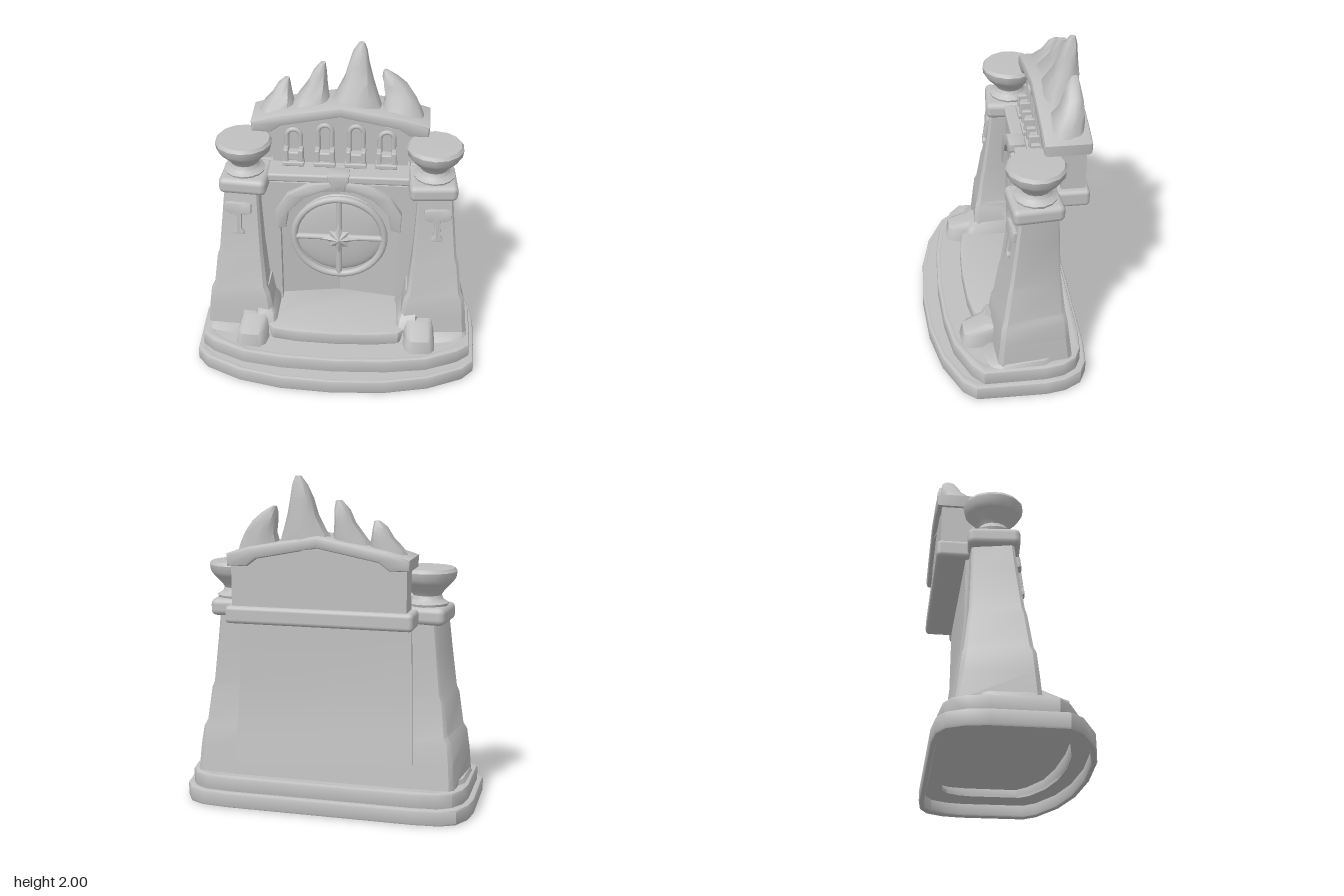
import * as THREE from 'three';
import { toCreasedNormals } from 'three/addons/utils/BufferGeometryUtils.js';
import { RoundedBoxGeometry } from 'three/addons/geometries/RoundedBoxGeometry.js';

const stone = new THREE.MeshStandardMaterial({ color: 0xc0c0c0, side: THREE.DoubleSide });
stone.name = 'stone grey';

// Skin through stacked rings of [x, y, z] points (counter-clockwise from above).
function loft(rings, crease = 0.95) {
  const n = rings[0].length, pos = rings.flat(2), idx = [];
  for (let i = 0; i < rings.length - 1; i++) for (let j = 0; j < n; j++) {
    const a = i * n + j, b = i * n + (j + 1) % n;
    idx.push(a, b, b + n, a, b + n, a + n);
  }
  const top = (rings.length - 1) * n;
  for (let j = 1; j < n - 1; j++) idx.push(top, top + j, top + j + 1, 0, j + 1, j);
  const g = new THREE.BufferGeometry();
  g.setAttribute('position', new THREE.Float32BufferAttribute(pos, 3));
  g.setIndex(idx);
  return toCreasedNormals(g, crease);
}

// Chamfered four-cornered ring; s mirrors it in x.
// Corners: outer front, outer back, inner back, inner front.
function quadRing(y, corners, s, cut = 0.12) {
  const ring = [];
  corners.forEach((c, i) => {
    for (const k of [3, 1]) {
      const o = corners[(i + k) % 4];
      ring.push([s * (c[0] + (o[0] - c[0]) * cut), y, c[1] + (o[1] - c[1]) * cut]);
    }
  });
  return s < 0 ? ring.reverse() : ring;
}

const toShape = (pts) => new THREE.Shape(pts.map(([x, y]) => new THREE.Vector2(x, y)));
const mirrored = (half) => [...half, ...half.filter((p) => p[0] !== 0).map(([x, y]) => [-x, y]).reverse()];

function extrude(shape, depth, bevel = 0.012) {
  const g = new THREE.ExtrudeGeometry(shape, {
    depth: depth - 2 * bevel, bevelEnabled: bevel > 0, bevelThickness: bevel,
    bevelSize: bevel, bevelOffset: -bevel, bevelSegments: 2, curveSegments: 12,
  });
  return toCreasedNormals(g.translate(0, 0, bevel), 0.6);
}

// Slab from a half outline in [x, z], optionally hollow.
function slab(half, y0, y1, hole = 0, bevel = 0.015) {
  const pts = mirrored(half).map(([x, z]) => [x, -z]);
  const shape = toShape(pts);
  if (hole) shape.holes.push(new THREE.Path(pts.map(([x, y]) => new THREE.Vector2(x * hole, y * hole))));
  return extrude(shape, y1 - y0, bevel).rotateX(-Math.PI / 2).translate(0, y0, 0);
}
const shrink = (half, k) => half.map(([x, z]) => [x * k, z * k]);

export function createModel() {
  const root = new THREE.Group();
  root.name = 'stoneGate';
  const add = (name, geo, x = 0, y = 0, z = 0, parent = root) => {
    const m = new THREE.Mesh(geo, stone);
    m.name = name;
    m.position.set(x, y, z);
    parent.add(m);
    return m;
  };
  const box = (name, w, h, d, x, y, z, r = 0.015) =>
    add(name, new RoundedBoxGeometry(w, h, d, 2, r), x, y, z);

  // Hollow stepped base
  const outline = [[0, 0.485], [0.33, 0.465], [0.6, 0.405], [0.82, 0.3], [0.89, 0.22], [0.895, -0.2],
    [0.875, -0.32], [0.82, -0.42], [0.73, -0.465], [0.57, -0.48], [0, -0.48]];
  const step = [[0, 0.385], [0.33, 0.37], [0.58, 0.33], [0.78, 0.24], [0.86, 0.17], [0.86, -0.2],
    [0.84, -0.31], [0.79, -0.39], [0.71, -0.43], [0.55, -0.445], [0, -0.445]];
  add('basePlinth', slab(outline, 0, 0.098, 0.93));
  add('plinthTop', slab(shrink(outline, 0.97), 0.078, 0.096, 0.75, 0));
  add('baseStep', slab(step, 0.08, 0.187, 0.9));
  add('baseDeck', slab(shrink(step, 0.97), 0.165, 0.185, 0, 0));
  add('threshold', slab([[0, 0.225], [0.25, 0.215], [0.4, 0.19], [0.48, 0.1], [0.48, -0.29], [0, -0.29]], 0.18, 0.272));

  // Pillars, bowls and emblems on both sides
  const levels = [ // y, outer x, inner x, front z, back z
    [0.18, 0.84, 0.40, 0.115, -0.37], [0.34, 0.828, 0.41, 0.10, -0.35], [0.46, 0.812, 0.43, 0.088, -0.335],
    [0.50, 0.79, 0.45, 0.075, -0.325], [0.70, 0.765, 0.465, 0.045, -0.302], [0.74, 0.75, 0.47, 0.035, -0.297],
    [1.0, 0.722, 0.482, 0.0, -0.287], [1.17, 0.705, 0.488, -0.02, -0.283]];
  for (const s of [1, -1]) {
    add('pillar', loft(levels.map(([y, o, i, f, b]) =>
      quadRing(y, [[o, f - 0.03], [o - 0.05, b], [i, b], [i, f]], s, 0.06)), 0.65));
    const cap = box('pillarCap', 0.295, 0.105, 0.3, s * 0.575, 1.2, -0.15, 0.035);
    cap.rotation.y = s * 0.08;

    const profile = [[0.001, 1.23], [0.12, 1.24], [0.128, 1.265], [0.095, 1.285], [0.085, 1.31], [0.1, 1.335],
      [0.15, 1.385], [0.168, 1.41], [0.174, 1.45], [0.16, 1.47], [0.001, 1.472]];
    const bowl = new THREE.LatheGeometry(profile.map(([r, y]) => new THREE.Vector2(r, y)), 14);
    add('fireBowl', toCreasedNormals(bowl, 0.7), s * 0.583, 0, -0.155);

    const hammer = toShape(mirrored([[0, -0.11], [0.034, -0.11], [0.034, -0.09], [0.019, -0.07], [0.019, 0.03],
      [0.04, 0.025], [0.082, 0.038], [0.082, 0.1], [0.04, 0.11], [0, 0.105]]));
    const emblem = add('hammerEmblem', extrude(hammer, 0.035, 0.006), s * 0.613, 0.98, -0.027);
    emblem.rotation.set(-0.14, s * 0.1, 0);

    // Worn rocks at the foot of the pillar
    add('footRock', loft([
      quadRing(0.17, [[0.635, 0.28], [0.64, 0.05], [0.4, 0.05], [0.45, 0.29]], s, 0.15),
      quadRing(0.27, [[0.615, 0.265], [0.62, 0.05], [0.41, 0.05], [0.465, 0.27]], s, 0.15),
      quadRing(0.325, [[0.59, 0.13], [0.61, 0.04], [0.42, 0.04], [0.46, 0.14]], s, 0.15)]));
    add('innerRock', loft([
      quadRing(0.18, [[0.52, 0.2], [0.52, -0.2], [0.37, -0.2], [0.37, 0.17]], s),
      quadRing(0.32, [[0.52, 0.14], [0.52, -0.2], [0.385, -0.2], [0.39, 0.12]], s),
      quadRing(0.36, [[0.52, 0.08], [0.52, -0.2], [0.41, -0.2], [0.42, 0.07]], s),
      quadRing(0.49, [[0.52, 0.06], [0.52, -0.2], [0.43, -0.2], [0.44, 0.05]], s)]));
    add('outerRock', loft([
      quadRing(0.17, [[0.85, 0.14], [0.84, -0.25], [0.6, -0.25], [0.6, 0.2]], s, 0.15),
      quadRing(0.215, [[0.835, 0.09], [0.82, -0.25], [0.6, -0.25], [0.6, 0.13]], s, 0.15)]));
  }

  // Gate wall with arched opening, and the heavy arch band on it
  const inner = [[0.33, 0.87], [0.315, 0.98], [0.215, 1.09], [0.1, 1.145], [0, 1.15]];
  const wall = toShape([[-0.5, 0.18], [0.5, 0.18], [0.5, 1.18], [-0.5, 1.18]]);
  wall.holes.push(new THREE.Path(mirrored([[0.37, 0.24], [0.37, 0.87], ...inner])
    .map(([x, y]) => new THREE.Vector2(x, y))));
  add('gateWall', extrude(wall, 0.18, 0), 0, 0, -0.3);
  const outer = [[0.39, 0.86], [0.395, 0.99], [0.32, 1.11], [0.18, 1.19], [0, 1.215]];
  const band = toShape([...mirrored(outer), ...mirrored(inner).reverse()]);
  add('archBand', extrude(band, 0.11, 0.01), 0, 0, -0.19);

  // Rear panel, flaring towards the base; rows are [y, half width, back z]
  const panel = [[0.18, 0.55, -0.378], [0.35, 0.545, -0.357], [0.5, 0.54, -0.335], [0.75, 0.53, -0.309], [1.16, 0.52, -0.305]];
  add('backPanel', loft(panel.map(([y, w, z]) => [[w, y, -0.275], [w, y, z], [-w, y, z], [-w, y, -0.275]])));

  // Double door, slightly folded inwards
  for (const s of [1, -1]) {
    const leaf = box('doorLeaf', 0.385, 0.92, 0.02, s * 0.19, 0.72, -0.225, 0.004);
    leaf.rotation.y = -s * 0.16;
  }

  // Door wheel: dish, rim, spokes and star
  const wheel = new THREE.Group();
  wheel.name = 'doorWheel';
  wheel.position.set(0, 0.762, -0.15);
  root.add(wheel);
  add('wheelDish', new THREE.SphereGeometry(0.29, 32, 16).scale(1, 1, 0.16), 0, 0, -0.06, wheel);
  add('wheelRim', new THREE.TorusGeometry(0.288, 0.023, 8, 40), 0, 0, 0, wheel);
  for (let i = 0; i < 2; i++) {
    add('wheelSpoke', new THREE.CylinderGeometry(0.02, 0.02, 0.57, 10), 0, 0, 0, wheel).rotation.z = i * Math.PI / 2;
  }
  const star = new THREE.ConeGeometry(1, 0.03, 16, 1);
  const p = star.attributes.position;
  for (let i = 0; i < p.count; i++) {
    const k = (Math.round(Math.atan2(p.getX(i), p.getZ(i)) / (Math.PI / 8)) + 16) % 16;
    const r = k % 2 ? 0.06 : k % 4 ? 0.085 : 0.115;
    p.setXYZ(i, p.getX(i) * r, p.getY(i), p.getZ(i) * r);
  }
  add('wheelStar', toCreasedNormals(star.rotateX(Math.PI / 2), 0.2), 0, 0, 0.037, wheel);

  // Lintel with keystone
  box('lintel', 1.12, 0.105, 0.2, 0, 1.19, -0.375, 0.025);
  box('lintelLedge', 0.88, 0.055, 0.26, 0, 1.222, -0.23);
  add('keystone', extrude(toShape(mirrored([[0, 1.16], [0.04, 1.16], [0.045, 1.2], [0.065, 1.22], [0.065, 1.265], [0, 1.27]])), 0.11, 0.01), 0, 0, -0.18);

  // Gable wall, wider at the rear, and roof slab
  const gable = (w) => toShape(mirrored([[0, 1.2], [w, 1.2], [w, 1.52], [0.36, 1.56], [0, 1.63]]));
  add('gableWall', extrude(gable(0.42), 0.18, 0), 0, 0, -0.44);
  add('gableRearWall', extrude(gable(0.52), 0.14, 0), 0, 0, -0.45);
  add('gableRoof', extrude(toShape(mirrored([[0, 1.595], [0.36, 1.525], [0.42, 1.48], [0.54, 1.48], [0.545, 1.55], [0.4, 1.595], [0, 1.665]])), 0.275, 0.02), 0, 0, -0.48);

  // Row of small arched niches with sills
  for (const [x, top] of [[-0.285, 1.505], [-0.092, 1.54], [0.1, 1.54], [0.287, 1.505]]) {
    const y = top - 0.055;
    const path = [[-0.042, 1.27], [-0.042, y]];
    for (let i = 1; i < 8; i++) path.push([-0.042 * Math.cos(i * Math.PI / 8), y + 0.042 * Math.sin(i * Math.PI / 8)]);
    path.push([0.042, y], [0.042, 1.27]);
    const curve = new THREE.CatmullRomCurve3(path.map(([a, b]) => new THREE.Vector3(a, b, 0)), false, 'catmullrom', 0.2);
    add('nicheArch', new THREE.TubeGeometry(curve, 32, 0.015, 8), x, 0, -0.24);
    box('nicheSill', 0.135, 0.03, 0.08, x, 1.285, -0.205, 0.008);
    box('nicheBlock', 0.075, 0.06, 0.06, x, 1.325, -0.22, 0.01);
    for (const s of [1, -1]) box('nichePost', 0.03, 0.09, 0.07, x + s * 0.046, 1.335, -0.21, 0.008);
  }

  // Jagged rock spikes; rows are [y, left x, right x, back z, front z]
  const spikes = [
    [[1.52, -0.53, -0.28, -0.46, -0.24], [1.6, -0.49, -0.285, -0.46, -0.27], [1.66, -0.43, -0.30, -0.455, -0.32],
      [1.72, -0.395, -0.312, -0.45, -0.35], [1.755, -0.355, -0.322, -0.43, -0.38]],
    [[1.56, -0.34, -0.05, -0.46, -0.24], [1.65, -0.28, -0.075, -0.46, -0.28], [1.74, -0.21, -0.085, -0.455, -0.33],
      [1.81, -0.18, -0.088, -0.45, -0.35], [1.865, -0.135, -0.1, -0.43, -0.38]],
    [[1.58, -0.11, 0.27, -0.47, -0.23], [1.68, -0.045, 0.225, -0.47, -0.26], [1.78, 0.01, 0.195, -0.465, -0.31],
      [1.87, 0.035, 0.175, -0.455, -0.34], [1.95, 0.065, 0.155, -0.45, -0.37], [2.0, 0.1, 0.135, -0.435, -0.4]],
    [[1.52, 0.22, 0.53, -0.46, -0.23], [1.6, 0.24, 0.49, -0.46, -0.26], [1.67, 0.26, 0.455, -0.455, -0.31],
      [1.74, 0.25, 0.405, -0.45, -0.34], [1.79, 0.245, 0.34, -0.44, -0.36], [1.825, 0.25, 0.28, -0.43, -0.39]]];
  const blunt = (v) => Math.sign(v) * Math.abs(v) ** 0.75;
  for (const rows of spikes) {
    add('rockSpike', loft(rows.map(([y, x0, x1, z0, z1], r) => Array.from({ length: 12 }, (_, j) => {
      const a = j * Math.PI / 6, k = 0.95 + 0.07 * Math.sin(j * 2.4 + r * 1.3);
      return [(x0 + x1) / 2 + (x1 - x0) / 2 * blunt(Math.cos(a)) * k, y,
        (z0 + z1) / 2 - (z1 - z0) / 2 * blunt(Math.sin(a)) * k];
    }))));
  }
  return root;
}
